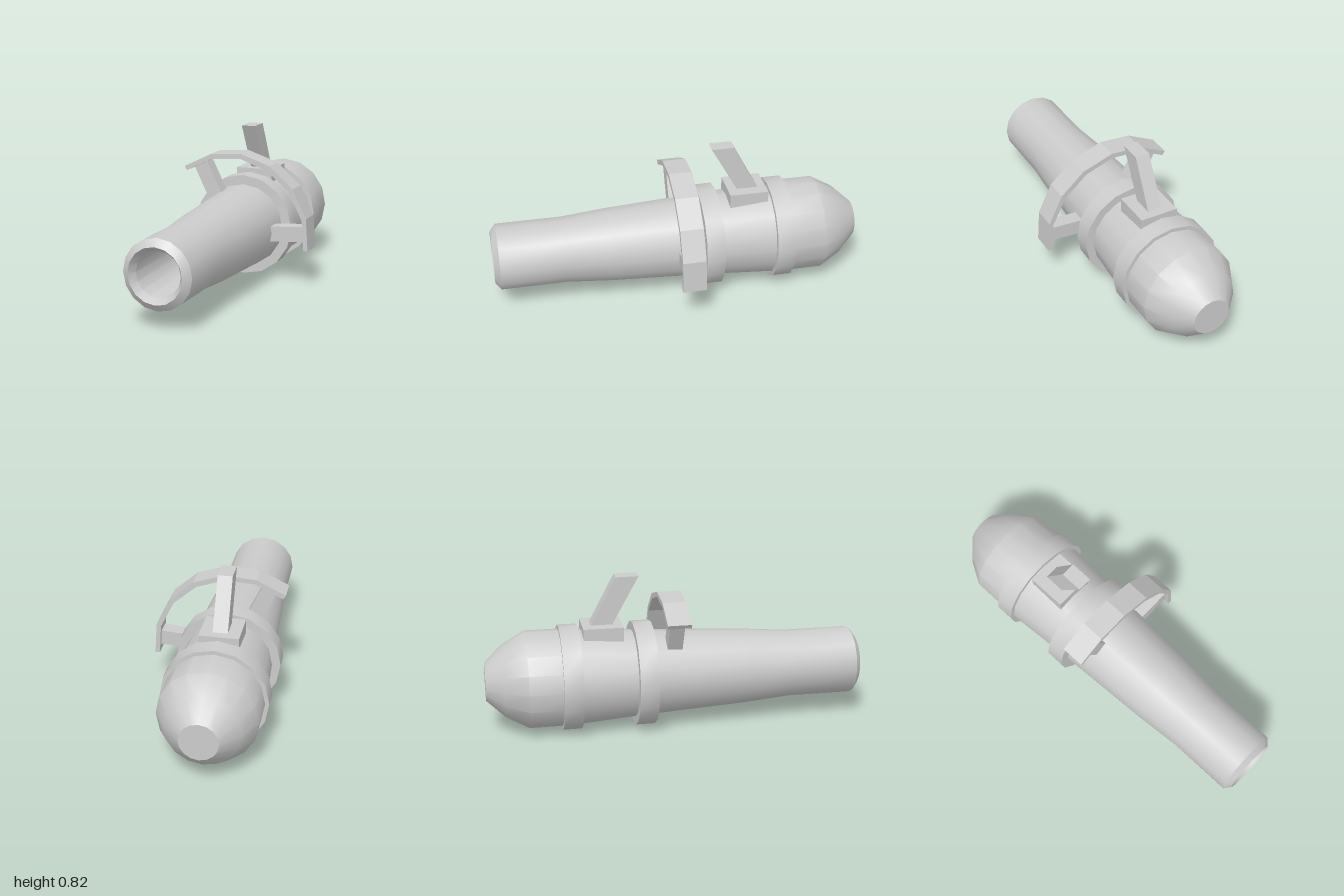
import * as THREE from 'three';
import { toCreasedNormals } from 'three/addons/utils/BufferGeometryUtils.js';

const AXIS_X = -0.077, AXIS_Y = 0.28, SIDES = 16;

export function createModel() {
  const model = new THREE.Group();
  model.name = 'barrelAssembly';
  const material = new THREE.MeshStandardMaterial({ color: 0xcccccc });

  const add = (name, geometry) => {
    const mesh = new THREE.Mesh(geometry, material);
    mesh.name = name;
    model.add(mesh);
    return mesh;
  };

  // Turned part along z; profile is [radius, z] from back to front
  const turned = (name, profile) => {
    const points = profile.map(([r, z]) => new THREE.Vector2(r, z));
    const geometry = new THREE.LatheGeometry(points, SIDES).rotateX(Math.PI / 2);
    add(name, toCreasedNormals(geometry, 0.6)).position.set(AXIS_X, AXIS_Y, 0);
  };

  // Prism whose outline lies in the xy plane, running from z0 to z1
  const prism = (points, z0, z1) => {
    const shape = new THREE.Shape(points.map(([x, y]) => new THREE.Vector2(x, y)));
    return new THREE.ExtrudeGeometry(shape, { depth: z1 - z0, bevelEnabled: false }).translate(0, 0, z0);
  };

  // Prism whose outline is given as [z, y], running from x0 to x1
  const sidePrism = (points, x0, x1) =>
    prism(points.map(([z, y]) => [-z, y]), x0, x1).rotateY(Math.PI / 2);

  // Barrel with rounded back end, tapering tube and open bore
  turned('barrel', [
    [0, -1], [0.1, -1], [0.19, -0.905], [0.257, -0.785], [0.257, -0.56],
    [0.229, -0.17], [0.2, 0.38], [0.18, 0.62], [0.18, 0.97], [0.142, 1],
    [0.117, 0.96], [0.117, 0.5], [0, 0.5],
  ]);

  // Two collars around the barrel
  [['frontCollar', -0.17], ['rearCollar', -0.56]].forEach(([name, z]) => turned(name, [
    [0.2, z - 0.05], [0.278, z - 0.05], [0.278, z + 0.05], [0.2, z + 0.05],
  ]));

  // Block on top with a slanted lever
  add('leverBase', sidePrism([[-0.28, 0.49], [-0.49, 0.507], [-0.49, 0.567], [-0.28, 0.567]], -0.18, 0.027));
  add('lever', sidePrism([[-0.335, 0.56], [-0.448, 0.56], [-0.31, 0.82], [-0.19, 0.82]], -0.115, -0.038));

  // Curved guard strip: outer edge, then inner edge back
  add('guardStrip', prism([
    [-0.355, 0.618], [-0.2, 0.694], [-0.03, 0.706], [0.137, 0.65], [0.267, 0.535], [0.342, 0.38], [0.353, 0.207],
    [0.328, 0.207], [0.318, 0.37], [0.245, 0.518], [0.122, 0.625], [-0.033, 0.679], [-0.195, 0.668], [-0.341, 0.596],
  ], -0.08, 0.045));

  // Struts carrying the guard strip
  add('rightStrut', prism([[-0.303, 0.613], [-0.232, 0.65], [-0.15, 0.482], [-0.22, 0.443]], -0.057, 0.022));
  add('leftStrut', prism([[0.32, 0.331], [0.326, 0.25], [0.13, 0.236], [0.13, 0.318]], -0.057, 0.022));

  return model;
}
